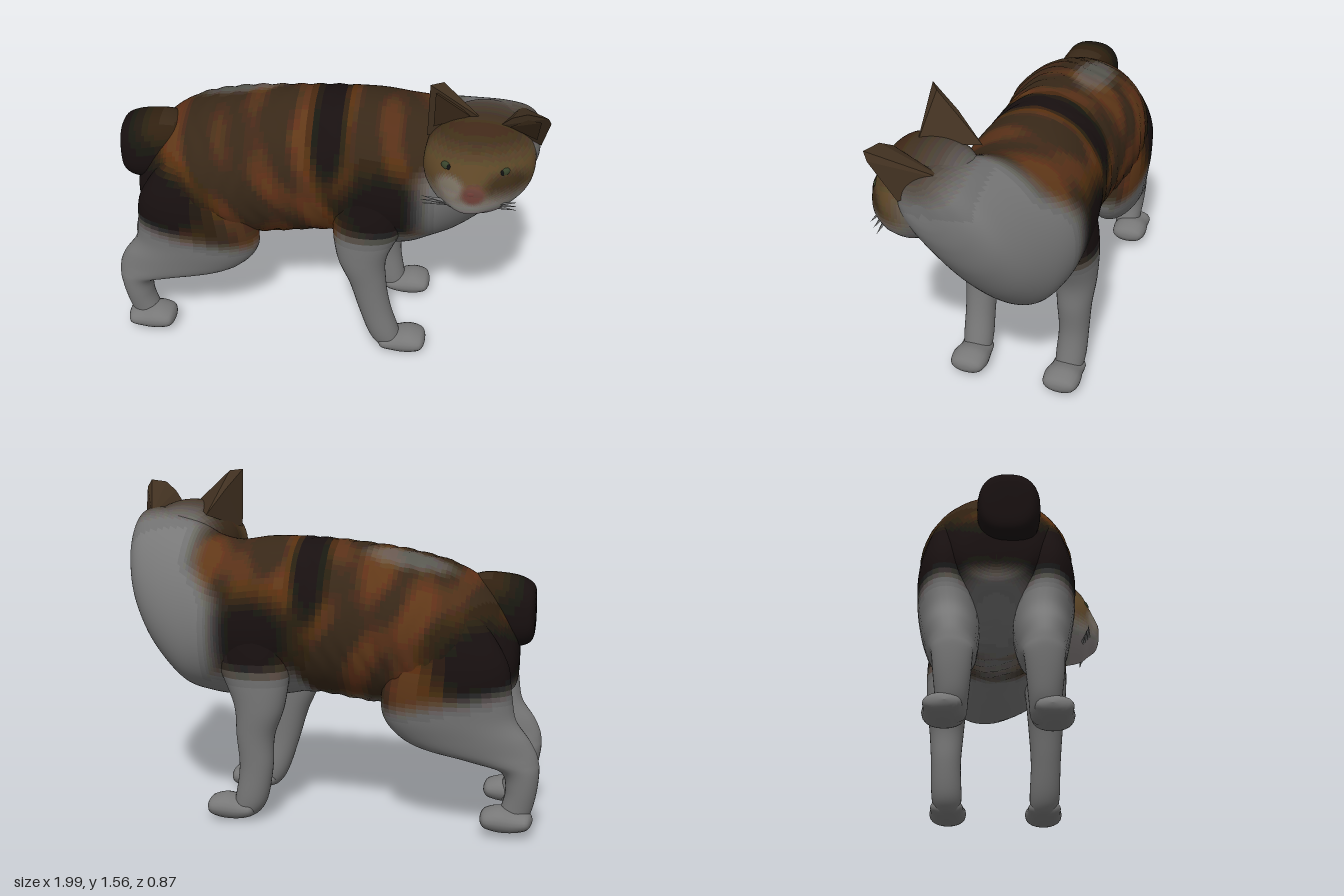
import * as THREE from 'three';
import { ConvexGeometry } from 'three/addons/geometries/ConvexGeometry.js';

const GREY = [116, 116, 116], BLACK = [20, 19, 18], BROWN = [94, 52, 20], DARK = [52, 36, 20];
const FACE = [92, 70, 42], MUZZLE = [140, 136, 132], ROSE = [108, 62, 54], EAR = [66, 46, 30];
const MID = -0.1; // z of the body's plane of symmetry

const hex = (c) => c.reduce((n, v) => n * 256 + Math.min(255, Math.round(v / 8) * 8), 0);
const material = (color) => new THREE.MeshStandardMaterial({ color, side: THREE.DoubleSide });
const mix = (a, b, w) => a.map((v, i) => v + (b[i] - v) * w);
const ramp = THREE.MathUtils.smoothstep;
const blot = (u, v, cu, cv, ru, rv) => 1 - ramp(Math.hypot((u - cu) / ru, (v - cv) / rv), 0.6, 1.35);

const spline = (a, b, c, d, t) =>
  0.5 * (2 * b + (c - a) * t + (2 * a - 5 * b + 4 * c - d) * t * t + (3 * b - a - 3 * c + d) * t * t * t);

// Smooth closed skin over cross-sections [t, uMin, uMax, vMin, vMax, skew] along an axis.
// (u, v) are y,z for axis x; z,x for axis y; x,y for axis z.
// The skin is split into one mesh per shade of paint(x, y, z).
function loft(name, axis, sections, paint, { sides = 40, steps = 6, power = 0.95, ruffle = () => 0 } = {}) {
  const ax = 'xyz'.indexOf(axis), last = sections.length - 1;
  const at = (i) => sections[Math.max(0, Math.min(last, i))];
  const pos = [], rings = last * steps + 1;
  const round = (v) => Math.sign(v) * Math.abs(v) ** power;
  for (let r = 0; r < rings; r++) {
    const i = Math.min(last - 1, Math.floor(r / steps)), f = r / steps - i;
    const [t, u0, u1, v0, v1, skew] = [0, 1, 2, 3, 4, 5].map((k) =>
      spline(at(i - 1)[k] ?? 0, at(i)[k] ?? 0, at(i + 1)[k] ?? 0, at(i + 2)[k] ?? 0, f));
    const end = r === 0 || r === rings - 1;
    for (let j = 0; j < sides; j++) {
      const a = (j / sides) * Math.PI * 2, grow = end ? 0.001 : 1 + ruffle(t, a);
      const du = round(Math.cos(a)) * grow * (u1 - u0) / 2;
      const dv = round(Math.sin(a)) * grow * (v1 - v0) / 2;
      const p = [0, 0, 0];
      p[ax] = t;
      p[(ax + 1) % 3] = (u0 + u1) / 2 + du;
      p[(ax + 2) % 3] = (v0 + v1) / 2 + dv + skew * du;
      pos.push(...p);
    }
  }
  const patches = new Map(), all = [];
  for (let r = 0; r < rings - 1; r++) {
    for (let j = 0; j < sides; j++) {
      const a = r * sides + j, b = r * sides + (j + 1) % sides, c = a + sides, d = b + sides;
      const mid = [0, 1, 2].map((k) => (pos[a * 3 + k] + pos[d * 3 + k]) / 2);
      const color = hex(paint(...mid));
      if (!patches.has(color)) patches.set(color, []);
      patches.get(color).push(a, b, d, a, d, c);
      all.push(a, b, d, a, d, c);
    }
  }
  const whole = new THREE.BufferGeometry();
  whole.setAttribute('position', new THREE.Float32BufferAttribute(pos, 3));
  whole.setIndex(all);
  whole.computeVertexNormals();
  const group = new THREE.Group();
  group.name = name;
  for (const [color, index] of patches) {
    const g = new THREE.BufferGeometry();
    g.setAttribute('position', whole.attributes.position);
    g.setAttribute('normal', whole.attributes.normal);
    g.setIndex(index);
    const mesh = new THREE.Mesh(g, material(color));
    mesh.name = name + 'Patch';
    group.add(mesh);
  }
  return group;
}

// Coat pattern shared by the body, the neck and the upper legs
function coat(x, y, z) {
  const cloud = Math.sin(x * 13 + 2 * Math.sin(y * 7)) * Math.sin(y * 9 + z * 6 + x * 4) + 0.4 * Math.sin(x * 31 + y * 6);
  let c = mix(BROWN, DARK, ramp(cloud, -0.7, 0.7));
  c = mix(c, GREY, 0.6 * blot(x, z, -0.4, -0.2, 0.2, 0.08) * ramp(y, 1.0, 1.15));
  c = mix(c, BLACK, blot(x, y, 0.04, 1.2, 0.08, 0.25));
  c = mix(c, BLACK, blot(x, y, 0.3, 0.86, 0.21, 0.19));
  c = mix(c, BLACK, blot(x, y, -0.74, 0.79, 0.22, 0.18));
  const hem = x < -0.3 ? 0.55 + (-0.3 - x) * 0.2 : 0.57 + 0.13 * ramp(x, 0, 0.12);
  const chest = 0.46 + 0.13 * ramp(y, 1, 1.2);
  c = mix(c, GREY, Math.max(1 - ramp(y, hem - 0.05, hem + 0.06), ramp(x, chest - 0.08, chest + 0.08)));
  return mix(c, DARK, 0.7 * ramp(z, -0.1, 0.15) * ramp(y, 1.22, 1.38) * ramp(x, 0.4, 0.55));
}

// Leg skins: [y, inner, outer, xMin, xMax], inner and outer measured from the body's mid plane
const FRONT_LEG = [
  [0.01, 0.2, 0.24, 0.34, 0.38], [0.03, 0.17, 0.28, 0.29, 0.41], [0.1, 0.16, 0.3, 0.245, 0.395],
  [0.25, 0.165, 0.305, 0.195, 0.35], [0.4, 0.155, 0.315, 0.15, 0.325], [0.55, 0.14, 0.33, 0.09, 0.325],
  [0.75, 0.12, 0.335, 0.07, 0.4], [0.95, 0.14, 0.3, 0.12, 0.4], [1.08, 0.2, 0.22, 0.25, 0.27]];
const HIND_LEG = [
  [0.02, 0.18, 0.2, -0.87, -0.83], [0.04, 0.14, 0.26, -0.91, -0.8], [0.1, 0.13, 0.26, -0.95, -0.81],
  [0.2, 0.12, 0.27, -0.975, -0.835], [0.29, 0.11, 0.275, -0.987, -0.81], [0.335, 0.1, 0.285, -0.985, -0.65],
  [0.38, 0.09, 0.295, -0.975, -0.45], [0.44, 0.08, 0.305, -0.945, -0.35], [0.53, 0.07, 0.32, -0.885, -0.29],
  [0.65, 0.08, 0.335, -0.865, -0.29], [0.8, 0.1, 0.33, -0.84, -0.33], [0.98, 0.14, 0.28, -0.72, -0.42],
  [1.05, 0.2, 0.22, -0.6, -0.56]];
const PAW = [
  [0.29, 0.05, 0.06, 0.21, 0.23], [0.31, 0.02, 0.09, 0.16, 0.3], [0.37, 0, 0.1, 0.15, 0.305],
  [0.44, 0, 0.115, 0.14, 0.315], [0.5, 0.015, 0.1, 0.15, 0.305], [0.52, 0.035, 0.08, 0.18, 0.27],
  [0.525, 0.05, 0.06, 0.21, 0.23]];

// footX, kneeX and footZ pose each leg a little differently
function createLeg(name, side, sections, pose, pawX, pawY) {
  const { footX, kneeX, footZ } = pose;
  const span = (a, b, dz) => [MID + side * a + dz, MID + side * b + dz].sort((p, q) => p - q);
  const leg = new THREE.Group();
  leg.name = name;
  leg.add(loft('limb', 'y', sections.map(([y, a, b, x0, x1]) => {
    const dx = THREE.MathUtils.lerp(footX, kneeX, ramp(y, 0.1, 0.5));
    return [y, ...span(a, b, footZ * (1 - ramp(y, 0.2, 0.55))), x0 + dx, x1 + dx];
  }), coat, { sides: 32 }));
  leg.add(loft('paw', 'x',
    PAW.map(([x, y0, y1, a, b]) => [x + pawX + footX, y0 + pawY, y1 + pawY, ...span(a, b, footZ)]),
    () => GREY, { sides: 20, steps: 4 }));
  return leg;
}

// Face pattern: dark crown, pale muzzle, rosy nose
function facePaint(x, y, z) {
  let c = mix(FACE, DARK, 0.8 * ramp(y, 1.26, 1.38));
  c = mix(c, DARK, 0.7 * blot(x, y, 0.84, 1.16, 0.09, 0.07));
  c = mix(c, MUZZLE, 1 - ramp(y, 1.06, 1.18));
  c = mix(c, MUZZLE, 0.6 * blot(x, y, 0.6, 1.16, 0.06, 0.05));
  c = mix(c, ROSE, 0.9 * blot(x, y, 0.7, 1.14, 0.05, 0.045));
  return mix(coat(x, y, z), c, ramp(z, 0.1, 0.28));
}

function createHead() {
  const head = new THREE.Group();
  head.name = 'head';
  head.add(loft('skull', 'z', [
    [-0.05, 0.7, 0.76, 1.2, 1.26], [0, 0.58, 0.9, 1.08, 1.36], [0.1, 0.5, 0.95, 1.02, 1.4],
    [0.2, 0.48, 0.96, 0.98, 1.41], [0.28, 0.48, 0.945, 0.985, 1.39], [0.34, 0.515, 0.89, 0.99, 1.34],
    [0.38, 0.555, 0.84, 1.015, 1.265], [0.415, 0.6, 0.77, 1.035, 1.195], [0.43, 0.64, 0.735, 1.07, 1.17],
    [0.435, 0.68, 0.7, 1.11, 1.14]], facePaint, { sides: 64 }));

  // Ears: a faceted shell with a darker lining
  const ears = [
    ['rightEar', [0.485, 1.28, 0.2], [0.72, 1.39, 0.22], [0.49, 1.555, 0.24], [0.545, 1.55, 0.2],
      [0.61, 1.47, 0.2], [0.6, 1.36, -0.02], [0.54, 1.47, 0.11]],
    ['leftEar', [0.79, 1.38, 0.24], [0.975, 1.27, 0.2], [0.9, 1.48, 0.3], [0.985, 1.485, 0.33],
      [1, 1.45, 0.31], [0.88, 1.35, 0.02], [0.84, 1.44, 0.27]]];
  for (const [name, ...corners] of ears) {
    const p = corners.map((c) => new THREE.Vector3(...c));
    const ear = new THREE.Mesh(new ConvexGeometry(p), material(hex(EAR)));
    ear.name = name;
    const rim = p.slice(0, 4);
    const centre = rim.reduce((sum, v) => sum.add(v), new THREE.Vector3()).divideScalar(4);
    const inner = rim.map((v) => v.clone().lerp(centre, 0.35).add(new THREE.Vector3(0, 0, 0.01)));
    const lining = new THREE.Mesh(
      new ConvexGeometry([...inner, centre.clone().setZ(centre.z - 0.03)]), material(hex(DARK)));
    lining.name = name + 'Lining';
    head.add(ear, lining);
  }

  // Eyes and nose
  const bead = (name, color, x, y, z, sx, sy, sz, tilt = 0) => {
    const m = new THREE.Mesh(new THREE.SphereGeometry(1, 16, 12), material(color));
    m.name = name;
    m.position.set(x, y, z);
    m.scale.set(sx, sy, sz);
    m.rotation.z = tilt;
    head.add(m);
  };
  for (const [x, y, z, tilt] of [[0.59, 1.235, 0.358, -0.5], [0.815, 1.225, 0.358, 0.5]]) {
    bead('eye', 0x39442c, x, y, z, 0.036, 0.022, 0.018, tilt);
    bead('pupil', 0x111111, x, y, z + 0.012, 0.01, 0.017, 0.009);
  }
  bead('nose', 0x6e3c36, 0.69, 1.145, 0.422, 0.03, 0.02, 0.014);

  // Whisker tufts
  for (const side of [-1, 1]) {
    for (let i = 0; i < 3; i++) {
      const tuft = new THREE.Mesh(new THREE.ConeGeometry(0.014, 0.13, 4), material(hex(GREY)));
      tuft.name = 'whiskerTuft';
      tuft.position.set(0.685 + side * 0.145, 1.07 - i * 0.02, 0.37 - i * 0.012);
      tuft.rotation.z = -side * (1.4 + i * 0.14);
      head.add(tuft);
    }
  }
  return head;
}

export function createModel() {
  const cat = new THREE.Group();
  cat.name = 'cat';

  // Torso, chest and the neck turning towards the front
  cat.add(loft('body', 'x', [
    [-0.88, 0.73, 0.79, -0.13, -0.07], [-0.86, 0.63, 0.9, -0.25, 0.05], [-0.75, 0.58, 1.08, -0.345, 0.145],
    [-0.6, 0.54, 1.18, -0.42, 0.215], [-0.4, 0.53, 1.235, -0.435, 0.235], [-0.2, 0.54, 1.265, -0.405, 0.2],
    [0.05, 0.57, 1.285, -0.4, 0.195], [0.25, 0.54, 1.285, -0.425, 0.22], [0.4, 0.54, 1.265, -0.43, 0.22],
    [0.52, 0.56, 1.28, -0.41, 0.2, 0.1], [0.65, 0.61, 1.33, -0.355, 0.19, 0.23], [0.8, 0.76, 1.375, -0.265, 0.2, 0.35],
    [0.9, 0.92, 1.375, -0.18, 0.2, 0.4], [0.95, 1.05, 1.35, -0.09, 0.2, 0.4], [0.97, 1.14, 1.31, 0, 0.18, 0.4],
    [0.975, 1.2, 1.27, 0.06, 0.14, 0.4]],
  coat, {
    sides: 80, steps: 9, power: 1,
    ruffle: (x, a) => 0.01 * ramp(x, -0.68, -0.55) * (1 - ramp(x, 0.05, 0.18)) * Math.sin(x * 70 + 3 * Math.sin(a * 5))
  }));

  // Bobbed tail
  cat.add(loft('tail', 'x', [
    [-0.945, 0.95, 1.03, -0.09, -0.02], [-0.935, 0.85, 1.09, -0.16, 0.05], [-0.88, 0.815, 1.125, -0.18, 0.08],
    [-0.8, 0.82, 1.14, -0.18, 0.08], [-0.7, 0.87, 1.14, -0.17, 0.07], [-0.6, 0.95, 1.1, -0.13, 0.03]],
  (x, y) => mix(BLACK, DARK, ramp(y, 0.95, 1.12) * ramp(x, -0.92, -0.75)), { sides: 32, power: 0.8 }));

  // Legs
  cat.add(
    createLeg('rightFrontLeg', 1, FRONT_LEG, { footX: 0, kneeX: 0, footZ: 0 }, 0, 0),
    createLeg('leftFrontLeg', -1, FRONT_LEG, { footX: -0.01, kneeX: 0.06, footZ: 0 }, 0, 0),
    createLeg('rightHindLeg', 1, HIND_LEG, { footX: 0.012, kneeX: 0, footZ: 0 }, -1.25, 0.015),
    createLeg('leftHindLeg', -1, HIND_LEG, { footX: -0.012, kneeX: 0, footZ: 0.025 }, -1.25, 0.015));

  cat.add(createHead());
  return cat;
}
